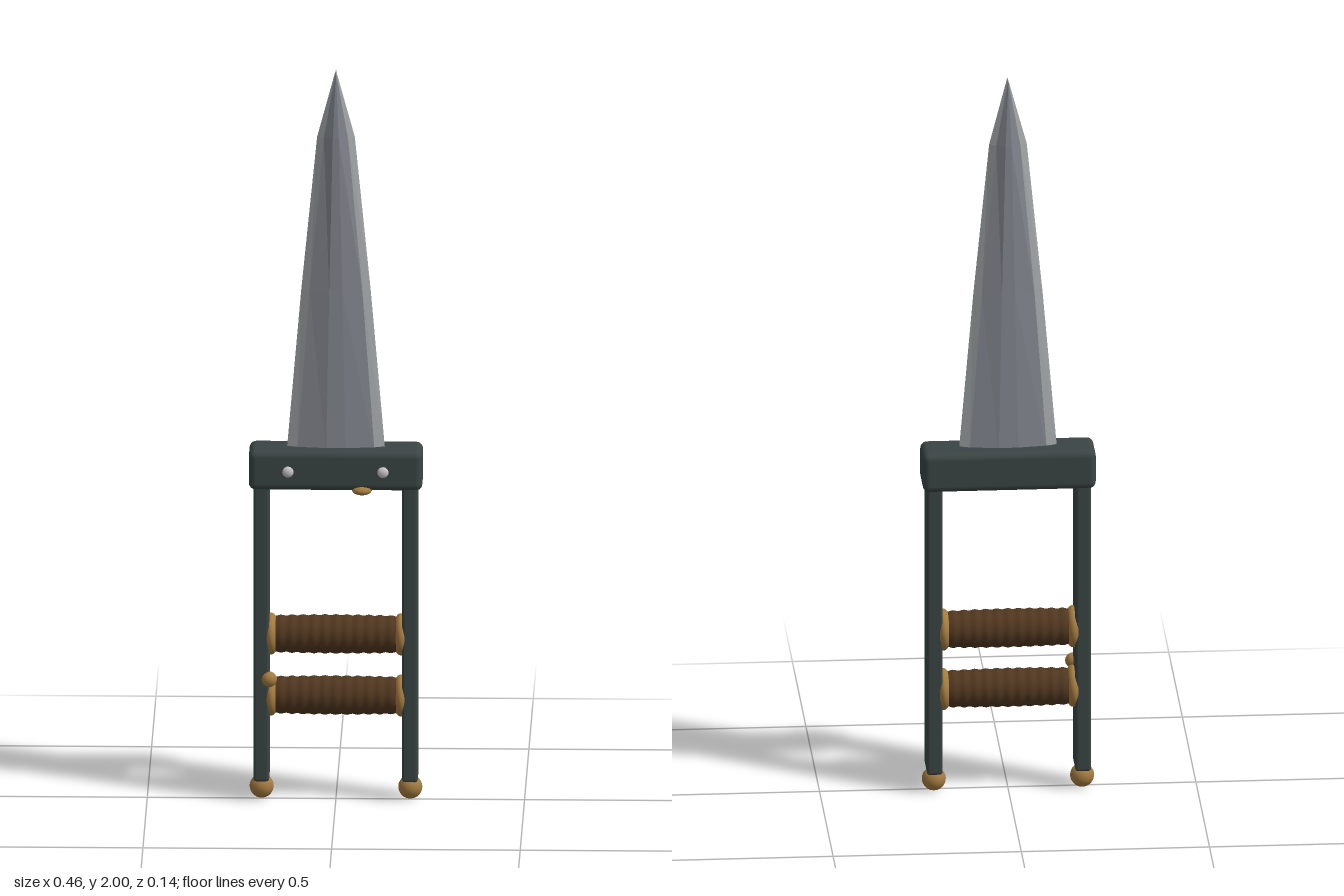
import * as THREE from 'three';
import { RoundedBoxGeometry } from 'three/addons/geometries/RoundedBoxGeometry.js';

const CZ = -0.008; // depth centre of the weapon

const material = (name, color, extra = {}) => {
  const m = new THREE.MeshStandardMaterial({ color, ...extra });
  m.name = name;
  return m;
};

// Lofted blade: [height, half width, bevel half width, ridge depth, bevel depth]
const SECTIONS = [
  [0.95, 0.131, 0.103, 0.020, 0.010],
  [1.40, 0.092, 0.070, 0.021, 0.010],
  [1.82, 0.050, 0.032, 0.024, 0.012],
  [2.00, 0.001, 0.0006, 0.018, 0.017],
];
const ring = ([y, w, b, ridge, d]) => [
  [w, y, 0], [b, y, d], [b * 0.25, y, ridge], [-b * 0.25, y, ridge], [-b, y, d],
  [-w, y, 0], [-b, y, -d], [-b * 0.25, y, -ridge], [b * 0.25, y, -ridge], [b, y, -d],
];

function bladeGeometry() {
  const faces = [[], []]; // body faces, bevel faces
  const rings = SECTIONS.map(ring);
  for (let s = 0; s < rings.length - 1; s++) {
    for (let i = 0; i < 10; i++) {
      const j = (i + 1) % 10;
      const [a, b, c, d] = [rings[s][i], rings[s][j], rings[s + 1][j], rings[s + 1][i]];
      const bevel = i % 5 === 0 || i % 5 === 4;
      faces[bevel ? 1 : 0].push(...a, ...c, ...b, ...a, ...d, ...c);
    }
  }
  // Tip cap
  const tip = rings[rings.length - 1];
  for (let i = 1; i < 9; i++) faces[1].push(...tip[0], ...tip[i + 1], ...tip[i]);
  // The ring runs from +x towards +z, so flip the triangles to face outward
  return faces.map((list) => {
    const g = new THREE.BufferGeometry();
    g.setAttribute('position', new THREE.Float32BufferAttribute(list, 3));
    g.computeVertexNormals();
    return g;
  });
}

export function createModel() {
  const model = new THREE.Group();
  const iron = material('dark iron', 0x3b4544);
  const steel = material('blade steel', 0x868a92, { side: THREE.DoubleSide });
  const edge = material('honed edge', 0xa6aaac, { side: THREE.DoubleSide });
  const brass = material('brass', 0xa37b40);
  const leather = material('leather wrap', 0x50371f);
  const silver = material('rivet silver', 0xc8c8cc);

  const add = (name, geometry, mat, x = 0, y = 0, z = CZ) => {
    const mesh = new THREE.Mesh(geometry, mat);
    mesh.name = name;
    mesh.position.set(x, y, z);
    model.add(mesh);
    return mesh;
  };

  // Blade
  const [body, bevels] = bladeGeometry();
  add('bladeBody', body, steel);
  add('bladeBevels', bevels, edge);

  // Crossguard
  add('crossguard', new RoundedBoxGeometry(0.46, 0.108, 0.125, 3, 0.018), iron, 0, 0.915, -0.01);

  // Side bars, pommel balls and guard rivets
  const bar = new RoundedBoxGeometry(0.042, 0.83, 0.097, 2, 0.008);
  const ball = new THREE.SphereGeometry(0.032, 20, 14);
  const rivet = new THREE.SphereGeometry(0.015, 14, 10);
  for (const side of [-1, 1]) {
    add('sideBar', bar, iron, side * 0.197, 0.473, -0.005);
    add('pommelBall', ball, brass, side * 0.197, 0.034);
    add('guardRivet', rivet, silver, side * 0.126, 0.915, 0.058).scale.z = 0.6;
  }

  // Wrapped grips with domed collars
  const profile = [];
  const STEPS = 72;
  for (let i = 0; i <= STEPS; i++) {
    const t = i / STEPS;
    const r = 0.048 + 0.003 * Math.sin(Math.PI * t) + 0.0015 * Math.cos(t * Math.PI * 24);
    profile.push(new THREE.Vector2(r, (t - 0.5) * 0.35));
  }
  const grip = new THREE.LatheGeometry(profile, 24);
  const collar = new THREE.SphereGeometry(0.056, 24, 14);
  for (const y of [0.285, 0.453]) {
    add('gripWrap', grip, leather, 0, y, -0.006).rotation.z = Math.PI / 2;
    for (const side of [-1, 1]) {
      add('gripCollar', collar, brass, side * 0.172, y, -0.006).scale.x = 0.42;
    }
  }

  // Small trigger stud below the guard and bead on one bar
  add('triggerStud', new THREE.SphereGeometry(0.027, 10, 6), brass, 0.07, 0.862, 0.042).scale.y = 0.45;
  add('barBead', new THREE.SphereGeometry(0.021, 12, 8), brass, -0.176, 0.34, 0.04);

  return model;
}
